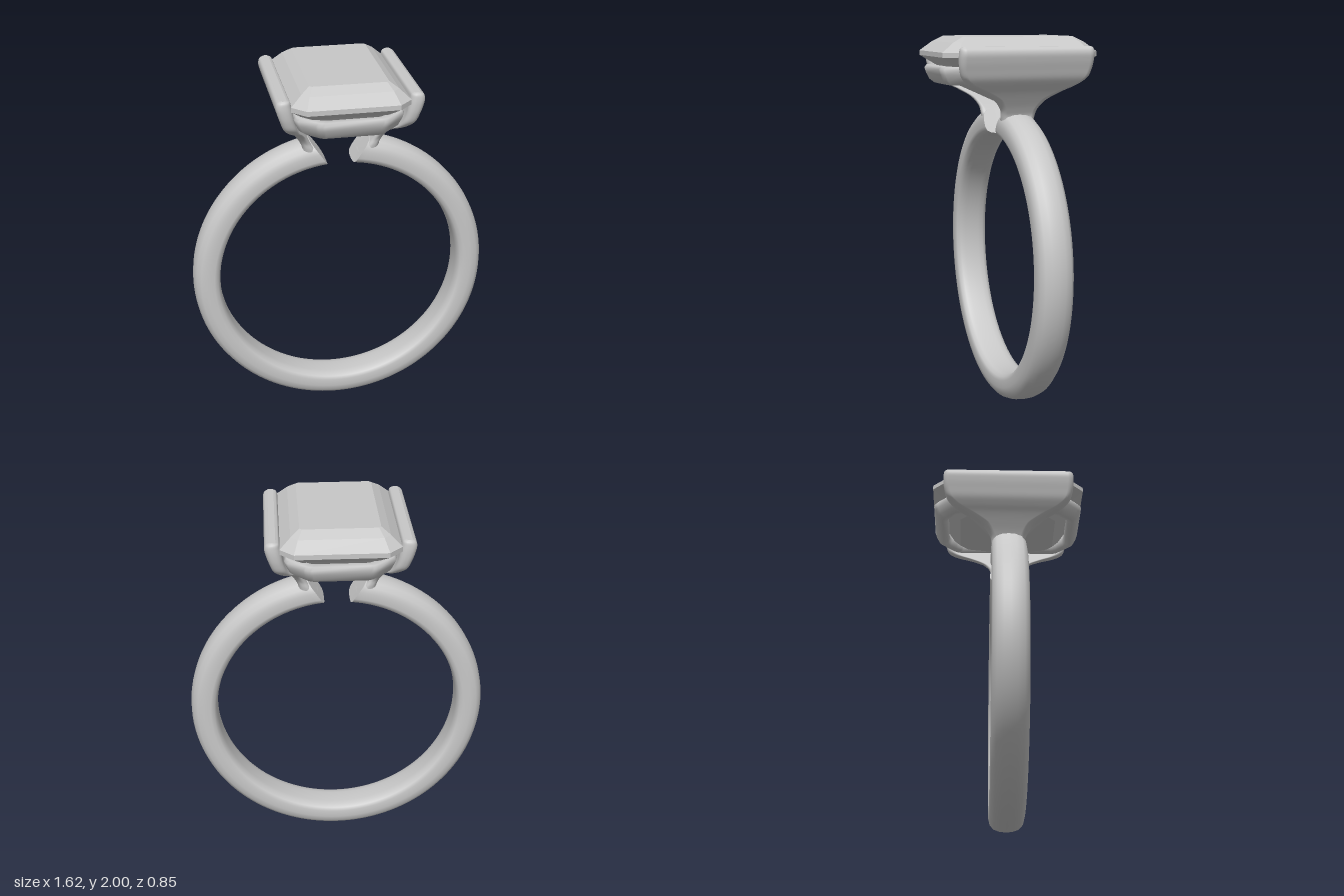
import * as THREE from 'three';

// Skin a list of equal-length loops; each loop turns from its outward axis toward +z
function loft(rings, { closed = false } = {}) {
  const n = rings[0].length, m = rings.length, pos = rings.flat(2), idx = [];
  for (let j = 0; j < (closed ? m : m - 1); j++) {
    const k = (j + 1) % m;
    for (let i = 0; i < n; i++) {
      const q = (i + 1) % n;
      idx.push(j * n + i, k * n + i, j * n + q, j * n + q, k * n + i, k * n + q);
    }
  }
  if (!closed) {
    for (const [ring, top] of [[rings[0], false], [rings[m - 1], true]]) {
      const b = pos.length / 3;
      const c = [0, 1, 2].map((a) => ring.reduce((s, p) => s + p[a], 0) / n);
      pos.push(...ring.flat(), ...c);
      for (let i = 0; i < n; i++) {
        const q = (i + 1) % n;
        if (top) idx.push(b + n, b + q, b + i);
        else idx.push(b + n, b + i, b + q);
      }
    }
  }
  const g = new THREE.BufferGeometry();
  g.setAttribute('position', new THREE.Float32BufferAttribute(pos, 3));
  g.setIndex(idx);
  g.computeVertexNormals();
  return g;
}

// Rectangle with cut corners, lying flat at height y
function octagon(hx, hz, c, y) {
  return [[hx, -hz + c], [hx, hz - c], [hx - c, hz], [-hx + c, hz],
    [-hx, hz - c], [-hx, -hz + c], [-hx + c, -hz], [hx - c, -hz]].map(([x, z]) => [x, y, z]);
}

// Soften every corner of a loop
function softened(loop, d) {
  const v = loop.map((p) => new THREE.Vector3(...p)), out = [];
  v.forEach((p, i) => {
    const a = v[(i + v.length - 1) % v.length], b = v[(i + 1) % v.length];
    const s = p.clone().add(a.clone().sub(p).setLength(d));
    const e = p.clone().add(b.clone().sub(p).setLength(d));
    const curve = new THREE.QuadraticBezierCurve3(s, p, e);
    for (let k = 0; k <= 4; k++) out.push(curve.getPoint(k / 4).toArray());
  });
  return out;
}

// Open band: domed outside, nearly flat inside, ends cut at a slant
function bandGeometry() {
  const half = [[0.81, 0], [0.807, 0.035], [0.795, 0.068], [0.772, 0.088], [0.74, 0.095],
    [0.70, 0.095], [0.68, 0.088], [0.668, 0.068], [0.664, 0.04], [0.663, 0]];
  const section = [...half, ...half.slice(1, -1).reverse().map(([r, z]) => [r, -z])];
  const rings = [], steps = 128;
  for (let j = 0; j <= steps; j++) {
    rings.push(section.map(([r, z]) => {
      const end = THREE.MathUtils.mapLinear(r, 0.66, 0.81, 0.1, 0.2);
      const t = THREE.MathUtils.lerp(Math.PI / 2 + end, Math.PI * 2.5 - end, j / steps);
      return [r * Math.cos(t), 0.81 + r * Math.sin(t), z];
    }));
  }
  return loft(rings);
}

// Flared side wall: [inner x, inner y, outer x, outer y, half depth] from foot to lip
function wallGeometry() {
  const rows = [
    [0.10, 1.52, 0.21, 1.54, 0.085], [0.14, 1.57, 0.205, 1.58, 0.092],
    [0.165, 1.605, 0.222, 1.62, 0.098], [0.195, 1.655, 0.255, 1.675, 0.135],
    [0.225, 1.705, 0.285, 1.72, 0.215], [0.248, 1.745, 0.312, 1.755, 0.295],
    [0.268, 1.79, 0.335, 1.79, 0.342], [0.282, 1.835, 0.352, 1.835, 0.358],
    [0.29, 1.88, 0.367, 1.88, 0.364], [0.297, 1.92, 0.374, 1.915, 0.364],
    [0.303, 1.942, 0.368, 1.938, 0.36], [0.318, 1.951, 0.35, 1.951, 0.348]];
  const inner = new THREE.CatmullRomCurve3(rows.map((r) => new THREE.Vector3(r[0], r[1], r[4])));
  const outer = new THREE.CatmullRomCurve3(rows.map((r) => new THREE.Vector3(r[2], r[3], 0)));
  const rings = [], steps = 55;
  for (let j = 0; j <= steps; j++) {
    const a = inner.getPoint(j / steps), b = outer.getPoint(j / steps);
    const h = Math.hypot(b.x - a.x, b.y - a.y) / 2, r = h * 0.85, ring = [];
    for (let q = 0; q < 4; q++) {
      const su = q === 0 || q === 3 ? 1 : -1, sv = q < 2 ? 1 : -1;
      for (let k = 0; k <= 5; k++) {
        const t = (q + k / 5) * Math.PI / 2;
        const u = su * (h - r) + r * Math.cos(t), f = 0.5 + u / (2 * h);
        ring.push([a.x + (b.x - a.x) * f, a.y + (b.y - a.y) * f, sv * (a.z - r) + r * Math.sin(t)]);
      }
    }
    rings.push(ring);
  }
  return loft(rings);
}

// Mirror across x, keeping faces outward
function mirrored(g) {
  const m = g.clone().scale(-1, 1, 1), ix = m.index;
  for (let i = 0; i < ix.count; i += 3) {
    const t = ix.getX(i);
    ix.setX(i, ix.getX(i + 1));
    ix.setX(i + 1, t);
  }
  m.computeVertexNormals();
  return m;
}

// Rounded rail under the stone: [inset, height] around its section
function railGeometry() {
  const section = [[0.05, 1.75], [0.025, 1.77], [0.008, 1.805], [0, 1.832], [0.012, 1.847],
    [0.05, 1.846], [0.075, 1.832], [0.085, 1.79], [0.075, 1.755]];
  return loft(section.map(([o, y]) =>
    softened(octagon(0.28 - o, 0.42 - o, 0.11 - o * 0.586, y), 0.025)), { closed: true });
}

// Step-cut stone: [half width, half depth, corner cut, height] from tip to table
function stoneGeometry() {
  const g = loft([
    [0.001, 0.001, 0.0003, 1.62], [0.19, 0.27, 0.045, 1.75], [0.25, 0.355, 0.055, 1.85],
    [0.30, 0.425, 0.068, 1.895], [0.30, 0.425, 0.068, 1.92], [0.245, 0.36, 0.035, 1.97],
    [0.20, 0.302, 0.012, 2.0]].map((r) => octagon(...r))).toNonIndexed();
  g.computeVertexNormals();
  return g;
}

export function createModel() {
  const model = new THREE.Group();
  model.name = 'ring';
  const silver = new THREE.MeshStandardMaterial({ color: 0xc8c8c8 });
  silver.name = 'silver grey';
  const add = (name, geometry) => {
    const mesh = new THREE.Mesh(geometry, silver);
    mesh.name = name;
    model.add(mesh);
  };
  const wall = wallGeometry();
  add('band', bandGeometry());
  add('leftWall', wall);
  add('rightWall', mirrored(wall));
  add('rail', railGeometry());
  add('stone', stoneGeometry());
  return model;
}
